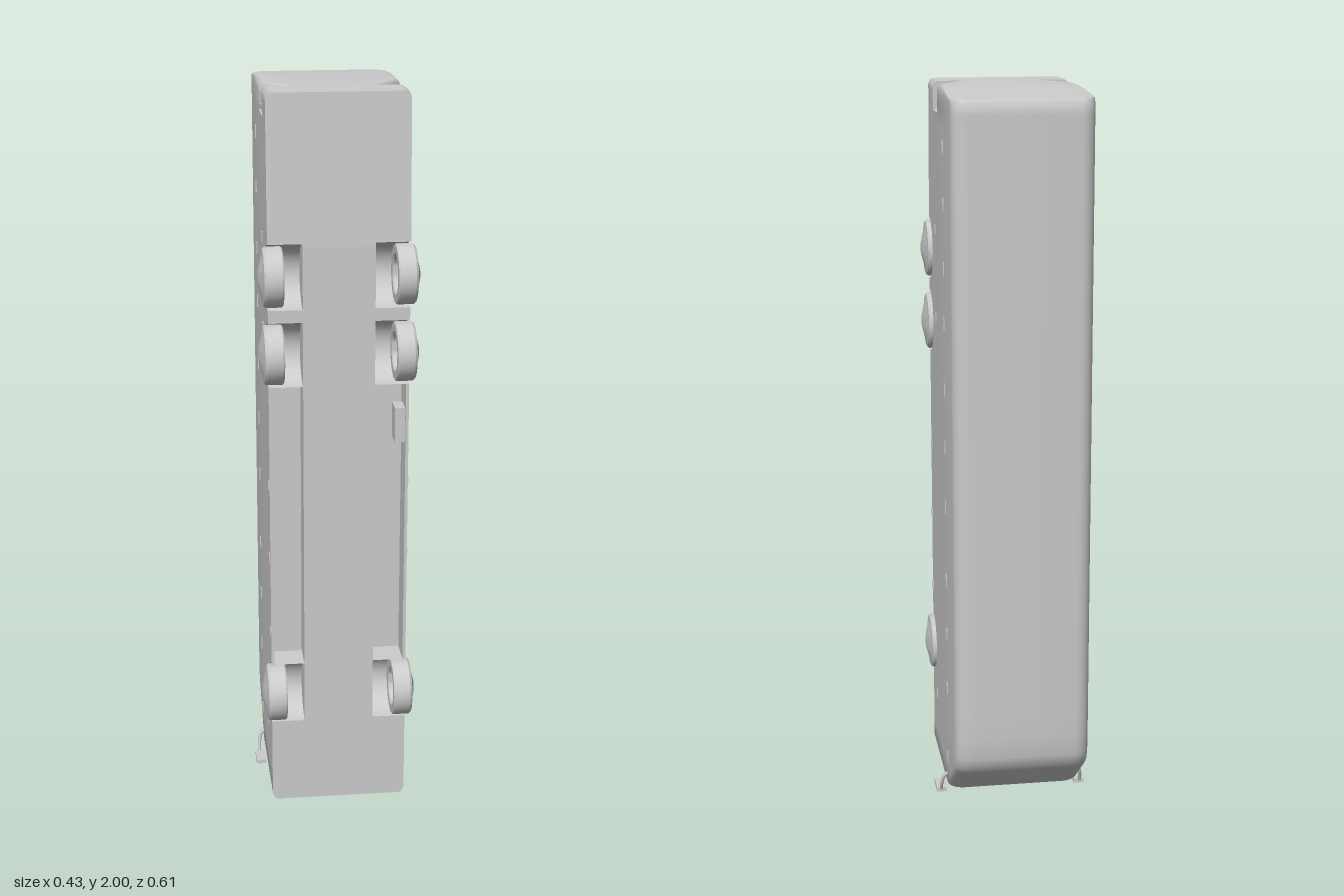
import * as THREE from 'three';
import { toCreasedNormals } from 'three/addons/utils/BufferGeometryUtils.js';

const WHEELS = [0.35, 1.322, 1.53]; // heights of the axles; the coach stands on its nose
const ARCH = 0.087;

// Piecewise linear lookup in rows of [y, value]
function sample(rows, y) {
  if (y <= rows[0][0]) return rows[0][1];
  for (let i = 1; i < rows.length; i++) {
    const [y0, v0] = rows[i - 1], [y1, v1] = rows[i];
    if (y <= y1) return v0 + (v1 - v0) * (y - y0) / (y1 - y0);
  }
  return rows[rows.length - 1][1];
}

const ROOF = [[0.02, -0.09], [0.035, -0.125], [0.15, -0.275], [0.17, -0.293], [0.2, -0.302], [0.3, -0.305],
  [1.955, -0.305], [1.975, -0.301], [1.985, -0.292], [2, -0.12]];
const HALF = [[0.02, 0.172], [0.027, 0.181], [0.04, 0.186], [1.985, 0.186], [1.995, 0.182], [2, 0.175]];
const SPINE = [[0.02, 0.172], [0.1, 0.135], [0.2, 0.105], [0.26, 0.095], [1.62, 0.095], [2, 0.03]];
const BELLY = [[0.02, 0.24], [1.61, 0.24], [1.75, 0.231], [2, 0.218]];
const NOTCH = [[1.925, 0], [1.929, 0.03], [1.945, 0.058], [1.97, 0.068], [2, 0.071]];

// One cross-section of the shell at height y, running round the roof, side and belly
function section(y, arch, channel) {
  const roof = sample(ROOF, y), w = sample(HALF, y), belly = sample(BELLY, y);
  const spine = Math.min(sample(SPINE, y), w - 0.01), n = sample(NOTCH, y), r = 0.042;
  const skirt = belly - arch, floor = belly - Math.max(arch, channel);
  const half = [[0, roof]];
  for (let k = 0; k <= 6; k++) {
    const a = k / 6 * Math.PI / 2;
    half.push([w - r + r * Math.sin(a), roof + r - r * Math.cos(a)]);
  }
  half.push([w, 0.01], [w - n, 0.11], [w, 0.11], [w, skirt], [w - 0.008, skirt],
    [w - 0.008, floor], [spine, floor], [spine, belly], [0, belly]);
  const mirrored = half.slice(1, -1).reverse().map(([x, z]) => [-x, z]);
  return [...half, ...mirrored].map(([x, z]) => new THREE.Vector3(x, y, z));
}

function bodyGeometry() {
  const rows = [];
  const add = (y, arch = 0, channel = 0) => rows.push(section(y, arch, channel));
  [0.02, 0.023, 0.027, 0.035, 0.04, 0.1, 0.15, 0.17, 0.2, 0.26].forEach(y => add(y));
  WHEELS.forEach((c, i) => {
    // rounded wheel arch
    for (let k = 0; k <= 16; k++) {
      const t = -Math.cos(k / 16 * Math.PI);
      add(c + ARCH * t, 0.09 * Math.sqrt(Math.max(0, 1 - t * t)));
    }
    // long open channel behind the skirts, between front and rear axles
    if (i === 0) [0.44, 0.6, 0.8, 1, 1.232].forEach(y => add(y, 0, 0.08));
  });
  [1.62, 1.75, 1.9, 1.925, 1.929, 1.945, 1.955, 1.97, 1.975, 1.985, 1.99, 1.995, 2].forEach(y => add(y));

  const pos = [], m = rows[0].length;
  const tri = (a, b, c) => {
    const area = b.clone().sub(a).cross(c.clone().sub(a)).length();
    if (area > 1e-10) pos.push(...a, ...b, ...c);
  };
  for (let i = 0; i < rows.length - 1; i++) for (let j = 0; j < m; j++) {
    const k = (j + 1) % m, a = rows[i][j], b = rows[i][k], c = rows[i + 1][k], d = rows[i + 1][j];
    tri(a, d, c);
    tri(a, c, b);
  }
  // flat ends: nose at the bottom, tail on top
  const nose = rows[0], tail = rows[rows.length - 1];
  const c0 = new THREE.Vector3(0, 0.02, 0.13), c1 = new THREE.Vector3(0, 2, 0.13);
  for (let j = 0; j < m; j++) {
    const k = (j + 1) % m;
    tri(c0, nose[j], nose[k]);
    tri(c1, tail[k], tail[j]);
  }
  const g = new THREE.BufferGeometry();
  g.setAttribute('position', new THREE.Float32BufferAttribute(pos, 3));
  return toCreasedNormals(g, 0.6);
}

export function createModel() {
  const group = new THREE.Group();
  const grey = new THREE.MeshStandardMaterial({ color: 0xcccccc, side: THREE.DoubleSide });
  const mesh = (name, geo, x = 0, y = 0, z = 0) => {
    const o = new THREE.Mesh(geo, grey);
    o.name = name;
    o.position.set(x, y, z);
    group.add(o);
    return o;
  };

  mesh('body', bodyGeometry());

  // Wheel: tyre open on the inside, dished disc and pointed hub cap outside
  const profile = [[0, 0.178], [0.05, 0.178], [0.05, 0.15], [0.054, 0.147], [0.076, 0.147], [0.079, 0.151],
    [0.079, 0.192], [0.074, 0.198], [0.058, 0.2], [0.05, 0.202], [0.018, 0.21], [0, 0.211]];
  const wheel = toCreasedNormals(new THREE.LatheGeometry(
    profile.map(([r, h]) => new THREE.Vector2(r, h)), 32), 0.6);

  // Wing mirror arm and plate
  const arm = new THREE.TubeGeometry(new THREE.CatmullRomCurve3([
    new THREE.Vector3(0.178, 0.068, -0.09), new THREE.Vector3(0.192, 0.062, -0.088),
    new THREE.Vector3(0.2, 0.04, -0.082), new THREE.Vector3(0.202, 0.008, -0.068)]), 12, 0.005, 6);
  const plate = new THREE.BoxGeometry(0.028, 0.012, 0.064);
  const lamp = new THREE.BoxGeometry(0.006, 0.035, 0.007);
  const marker = new THREE.BoxGeometry(0.006, 0.025, 0.012);

  for (const s of [1, -1]) {
    const side = s > 0 ? 'left' : 'right';
    for (const y of WHEELS) mesh(side + 'Wheel', wheel, 0, y, 0.228).rotation.z = -s * Math.PI / 2;
    mesh(side + 'MirrorArm', arm).scale.x = s;
    mesh(side + 'Mirror', plate, s * 0.2, 0.006, -0.038);
    // row of lamps along the side, and small reflectors lower down
    for (const y of [0.13, 0.34, 0.5, 0.66, 0.87, 1.04, 1.2, 1.38, 1.53, 1.7, 1.85])
      mesh(side + 'SideLamp', lamp, s * 0.186, y, -0.115);
    for (const [y, z] of [[0.22, 0.137], [0.53, 0.222], [0.75, 0.222], [0.96, 0.222], [1.36, 0.08], [1.605, 0.08]])
      mesh(side + 'Reflector', marker, s * 0.186, y, z);
  }

  // Small locker hanging inside the left channel
  mesh('locker', new THREE.BoxGeometry(0.028, 0.095, 0.06), 0.165, 1.117, 0.2);
  return group;
}
